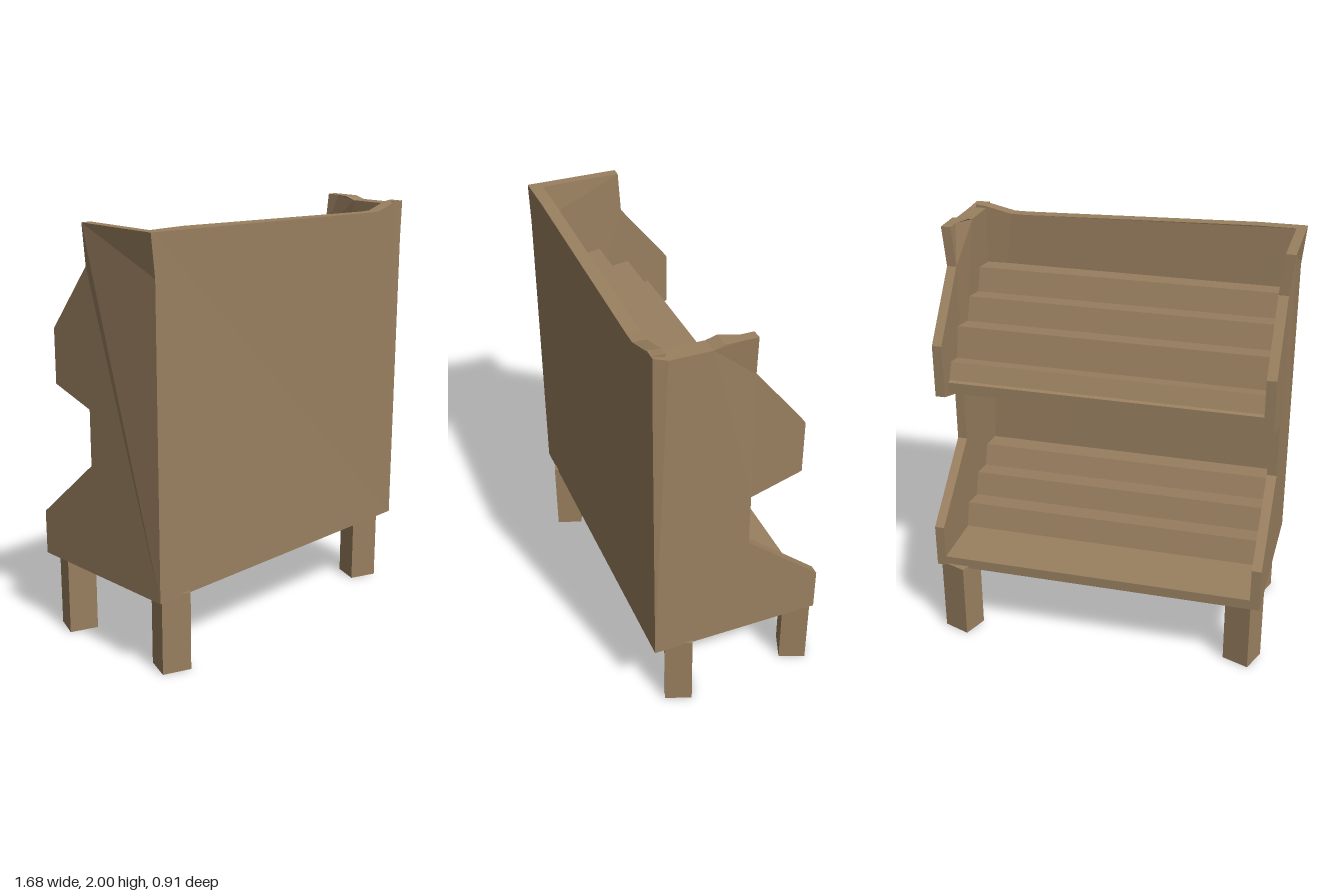
import * as THREE from 'three';

const TILT = 0.055;       // the cabinet is turned slightly on its legs
const HALF_W = 0.81, HALF_D = 0.41, WALL = 0.047;

const wood = new THREE.MeshStandardMaterial({ color: 0x9a8060 });
wood.name = 'wood';

function addMesh(parent, name, geometry) {
  const mesh = new THREE.Mesh(geometry, wood);
  mesh.name = name;
  parent.add(mesh);
  return mesh;
}

function outline(points) {
  return new THREE.Shape(points.map(([a, b]) => new THREE.Vector2(a, b)));
}

// Extrudes a [z, y] profile along x, from x0 to x1
function extrudeX(points, x0, x1) {
  const g = new THREE.ExtrudeGeometry(outline(points), { depth: x1 - x0, bevelEnabled: false });
  return g.rotateY(-Math.PI / 2).translate(x1, 0, 0);
}

// Moves every vertex by a rule, then rebuilds the flat normals
function warp(geometry, rule) {
  const p = geometry.attributes.position, v = new THREE.Vector3();
  for (let i = 0; i < p.count; i++) {
    rule(v.fromBufferAttribute(p, i));
    p.setXYZ(i, v.x, v.y, v.z);
  }
  geometry.computeVertexNormals();
  return geometry;
}

// Stepped edge of a side wall, from the bottom to the rim
const wallEdge = [
  [HALF_D, 0.37], [-HALF_D, 0.37], [-HALF_D, 0.585], [-0.045, 0.9], [-0.045, 1.165],
  [-0.285, 1.24], [-0.285, 1.5], [-0.04, 1.81], [-0.035, 2],
];

function sideWall(side) {
  const rim = side > 0
    ? [[0.03, 2], [0.11, 2], [0.16, 1.985], [0.35, 1.985], [HALF_D, 2]]
    : [[HALF_D, 2]];
  const points = [...wallEdge, ...rim, [HALF_D, 1.81]];
  const x0 = side > 0 ? HALF_W - WALL : -HALF_W;
  return warp(extrudeX(points, x0, x0 + WALL), v => {
    if (v.y < 1.9) return;
    const inner = Math.abs(v.x) < HALF_W - WALL / 2;
    const corner = v.z > 0.35;
    // the rim flares outwards, and the left one thickens near the corner
    if (inner && side > 0 && v.z > 0.1) v.x -= 0.015;
    else v.x += side * (corner && side > 0 ? 0.006 : 0.02);
  });
}

export function createModel() {
  const model = new THREE.Group();
  model.name = 'displayStand';

  const cabinet = new THREE.Group();
  cabinet.name = 'cabinet';
  cabinet.rotation.y = -TILT;
  model.add(cabinet);

  addMesh(cabinet, 'leftWall', sideWall(1));
  addMesh(cabinet, 'rightWall', sideWall(-1));

  // Closed panel with a worn, uneven rim
  const panel = new THREE.ExtrudeGeometry(outline([
    [-0.8, 0.37], [0.8, 0.37], [0.8, 1.81], [0.8, 2], [0.75, 1.995], [0.62, 1.962],
    [0.55, 1.962], [-0.6, 2], [-0.815, 2], [-0.8, 1.81],
  ]), { depth: 0.06, bevelEnabled: false });
  panel.translate(0, 0, HALF_D - 0.06);
  addMesh(cabinet, 'panel', warp(panel, v => {
    if (v.y > 1.9 && v.x > 0.5 && v.x < 0.7) v.z += 0.01;
  }));

  // Tiers: steps of steep risers and treads leaning back
  const inside = HALF_W - WALL;
  const stairs = (first, ridges) => ridges.flatMap((y, i) => {
    const z = -0.105 + i * 0.15;
    const base = i === 0 ? first : ridges[i - 1] - 0.015;
    return [[z, base], [z + 0.035, y]];
  });
  const lower = [
    [0.38, 0.37], [-HALF_D, 0.37], [-HALF_D, 0.42],
    ...stairs(0.42, [0.54, 0.64, 0.73]), [0.38, 0.715],
  ];
  const upper = [
    [0.38, 1.16], [-0.235, 1.24], [-0.235, 1.295], [-0.215, 1.3], [-0.18, 1.38],
    ...stairs(1.37, [1.52, 1.62, 1.72]), [0.38, 1.705],
  ];
  addMesh(cabinet, 'lowerShelf', extrudeX(lower, -inside, inside));
  addMesh(cabinet, 'upperShelf', extrudeX(upper, -inside, inside));

  // Legs, each turned the same way
  for (const x of [-0.705, 0.722]) {
    for (const z of [-0.325, 0.305]) {
      const leg = addMesh(model, 'leg', new THREE.BoxGeometry(0.138, 0.38, 0.13));
      leg.position.set(x, 0.19, z);
      leg.rotation.y = -0.42;
    }
  }
  return model;
}
